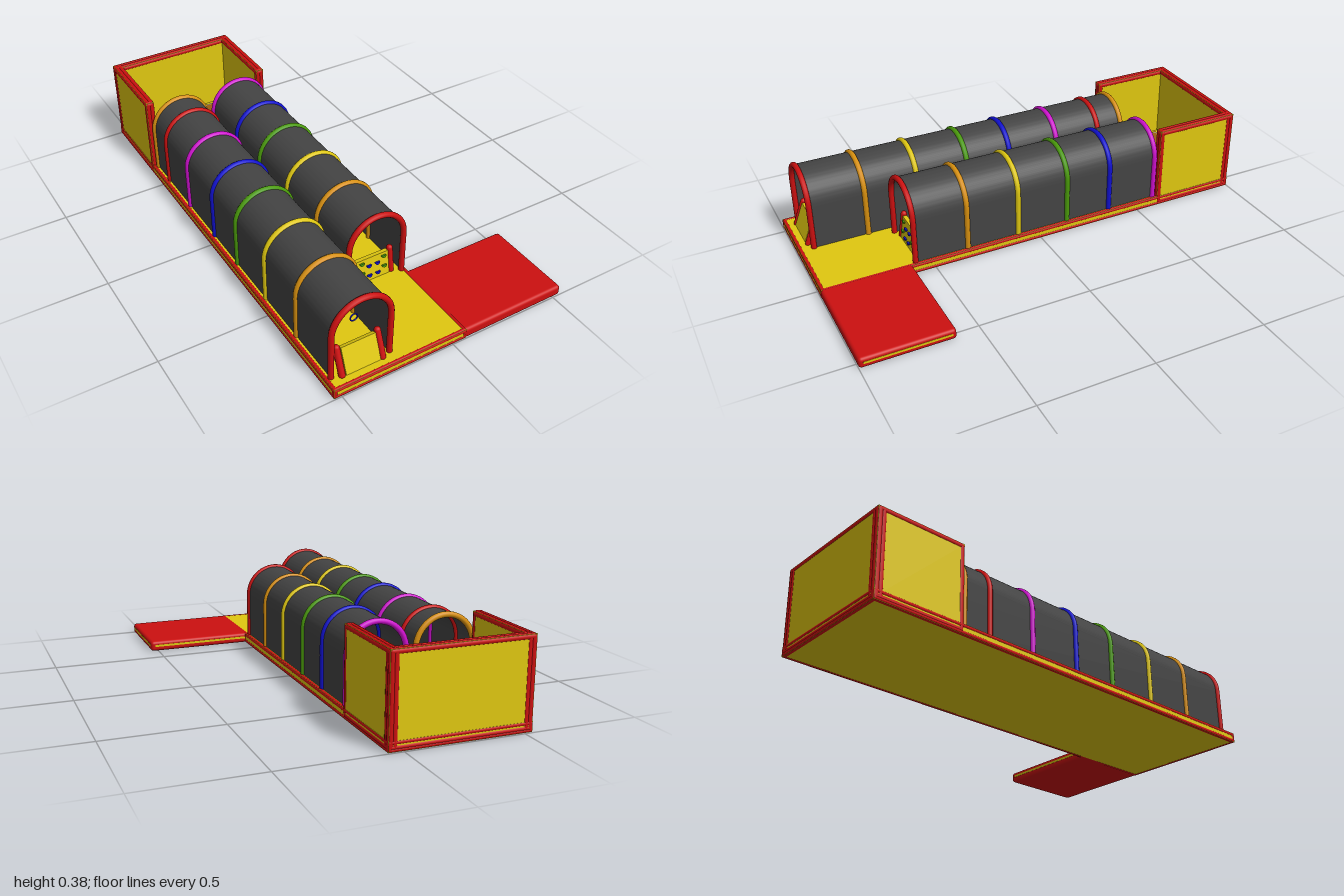
import * as THREE from 'three';
import { mergeGeometries, toCreasedNormals } from 'three/addons/utils/BufferGeometryUtils.js';
import { RoundedBoxGeometry } from 'three/addons/geometries/RoundedBoxGeometry.js';

const paint = (color) => new THREE.MeshStandardMaterial({ color, side: THREE.DoubleSide });
const M = {
  red: paint(0xcc1010), yellow: paint(0xe0c810), orange: paint(0xd8900f), green: paint(0x4a9a0a),
  blue: paint(0x1010d0), magenta: paint(0xd010d0), grey: paint(0x444444), brown: paint(0x9c5f10), line: paint(0xbbbbbb),
};
const V = (x, y, z) => new THREE.Vector3(x, y, z);
const FLOOR = 0.044, SPRING = 0.245, R = 0.128;

function add(parent, name, geo, mat, x = 0, y = 0, z = 0) {
  const m = new THREE.Mesh(geo, mat);
  m.name = name;
  m.position.set(x, y, z);
  parent.add(m);
  return m;
}

// Straight round bar between two points
function bar(a, b, r) {
  return new THREE.TubeGeometry(new THREE.LineCurve3(a, b), 1, r, 12);
}

// Yellow slab with a red round tube along each of its 12 edges
function paddedSlab(parent, name, min, max, r) {
  const g = new THREE.Group();
  g.name = name;
  const c = min.clone().add(max).multiplyScalar(0.5);
  const size = max.clone().sub(min);
  const h = size.clone().multiplyScalar(0.5).subScalar(r);
  const inset = r * 0.5;
  add(g, name + 'Panel', new THREE.BoxGeometry(size.x - inset, size.y - inset, size.z - inset), M.yellow);
  const parts = [];
  for (const s of [-1, 1]) for (const t of [-1, 1]) {
    parts.push(bar(V(-h.x, s * h.y, t * h.z), V(h.x, s * h.y, t * h.z), r));
    parts.push(bar(V(s * h.x, -h.y, t * h.z), V(s * h.x, h.y, t * h.z), r));
    parts.push(bar(V(s * h.x, t * h.y, -h.z), V(s * h.x, t * h.y, h.z), r));
    for (const u of [-1, 1]) {
      parts.push(new THREE.SphereGeometry(r, 12, 8).translate(s * h.x, t * h.y, u * h.z));
    }
  }
  add(g, name + 'Edging', mergeGeometries(parts), M.red);
  g.position.copy(c);
  parent.add(g);
}

// Arched ring: straight legs and a half-circle top
function ringGeometry() {
  const pts = [V(-R, 0.03, 0), V(-R, 0.1, 0), V(-R, 0.18, 0)];
  for (let i = 0; i <= 20; i++) {
    const a = Math.PI * (1 - i / 20);
    pts.push(V(R * Math.cos(a), SPRING + R * Math.sin(a), 0));
  }
  pts.push(V(R, 0.18, 0), V(R, 0.1, 0), V(R, 0.03, 0));
  return new THREE.TubeGeometry(new THREE.CatmullRomCurve3(pts), 64, 0.0125, 10);
}

// Thin arched tunnel skin running along z
function skinGeometry(length) {
  const ro = R + 0.002, ri = R - 0.003;
  const s = new THREE.Shape();
  s.moveTo(ro, 0.035);
  s.lineTo(ro, SPRING);
  s.absarc(0, SPRING, ro, 0, Math.PI, false);
  s.lineTo(-ro, 0.035);
  s.lineTo(-ri, 0.035);
  s.lineTo(-ri, SPRING);
  s.absarc(0, SPRING, ri, Math.PI, 0, true);
  s.lineTo(ri, 0.035);
  return toCreasedNormals(new THREE.ExtrudeGeometry(s, { depth: length, bevelEnabled: false, curveSegments: 28 }), 0.6);
}

function tunnel(parent, name, x, rings) {
  const g = new THREE.Group();
  g.name = name;
  g.position.x = x;
  const front = rings[0][0], back = rings[rings.length - 1][0];
  add(g, 'tunnelSkin', skinGeometry(front - back), M.grey, 0, 0, back);
  const geo = ringGeometry();
  for (const [z, color] of rings) add(g, 'archRing', geo, M[color], 0, 0, z);
  parent.add(g);
  return g;
}

// Leaning panel between two round posts; lean is how far the foot stands forward
function entryPanel(parent, name, z, lean) {
  const g = new THREE.Group();
  g.name = name;
  g.position.set(0, FLOOR, z);
  g.rotation.x = -Math.atan2(lean, 0.1);
  const len = Math.hypot(0.105, lean);
  add(g, 'panel', new THREE.BoxGeometry(0.15, len, 0.02), M.yellow, 0, len / 2, 0);
  for (const s of [-1, 1]) {
    add(g, 'post', new THREE.CapsuleGeometry(0.0135, len, 6, 12), M.red, s * 0.089, len / 2 + 0.003, 0);
  }
  parent.add(g);
  return g;
}

// Flat court line through a list of [x, z] points
function courtLine(parent, pts) {
  const w = 0.0025, pos = [], idx = [];
  pts.forEach(([x, z], i) => {
    const a = pts[Math.max(i - 1, 0)], b = pts[Math.min(i + 1, pts.length - 1)];
    const d = new THREE.Vector2(b[0] - a[0], b[1] - a[1]).normalize().multiplyScalar(w);
    pos.push(x - d.y, 0, z + d.x, x + d.y, 0, z - d.x);
    if (i) idx.push(2 * i - 2, 2 * i, 2 * i - 1, 2 * i - 1, 2 * i, 2 * i + 1);
  });
  const geo = new THREE.BufferGeometry();
  geo.setAttribute('position', new THREE.Float32BufferAttribute(pos, 3));
  geo.setIndex(idx);
  geo.computeVertexNormals();
  add(parent, 'courtLine', geo, M.line, 0, 0.0515, 0);
}
const arc = (cx, cz, rx, rz, a0, a1) => Array.from({ length: 33 }, (_, i) => {
  const a = a0 + (a1 - a0) * i / 32;
  return [cx + rx * Math.cos(a), cz + rz * Math.sin(a)];
});

export function createModel() {
  const root = new THREE.Group();
  root.name = 'inflatablePlayCourse';

  // Base and side mat
  paddedSlab(root, 'base', V(-0.535, 0, -1), V(0.065, 0.047, 1), 0.0095);
  add(root, 'sideMat', new RoundedBoxGeometry(0.485, 0.047, 0.395, 4, 0.014), M.red, 0.2925, 0.0235, 0.8025);
  add(root, 'matStripe', new THREE.BoxGeometry(0.004, 0.01, 0.36), M.yellow, 0.534, 0.026, 0.8025);
  add(root, 'matStripe', new THREE.BoxGeometry(0.45, 0.01, 0.004), M.yellow, 0.29, 0.026, 0.606);

  // Court walls
  paddedSlab(root, 'leftCourtWall', V(0.022, 0.005, -1), V(0.065, 0.385, -0.6), 0.0135);
  paddedSlab(root, 'rightCourtWall', V(-0.535, 0.005, -1), V(-0.492, 0.385, -0.6), 0.0135);
  paddedSlab(root, 'backCourtWall', V(-0.535, 0.005, -1), V(0.065, 0.385, -0.957), 0.0135);

  // Court floor and markings
  const court = new THREE.Group();
  court.name = 'court';
  root.add(court);
  add(court, 'courtFloor', new THREE.BoxGeometry(0.475, 0.012, 0.325), M.brown, -0.24, 0.0445, -0.7785);
  const P = Math.PI, cz = -0.777;
  courtLine(court, [[-0.465, -0.935], [-0.007, -0.935]]);
  courtLine(court, [[-0.465, -0.62], [-0.007, -0.62]]);
  courtLine(court, [[-0.007, -0.935], [-0.007, -0.62]]);
  courtLine(court, [[-0.465, -0.935], [-0.465, -0.62]]);
  courtLine(court, [[-0.465, cz - 0.07], [-0.282, cz - 0.07]]);
  courtLine(court, [[-0.465, cz + 0.07], [-0.282, cz + 0.07]]);
  courtLine(court, [[-0.282, cz - 0.07], [-0.282, cz + 0.07]]);
  courtLine(court, arc(-0.282, cz, 0.07, 0.07, 0, 2 * P));
  courtLine(court, arc(-0.007, cz, 0.072, 0.072, P / 2, 1.5 * P));
  courtLine(court, arc(-0.42, cz, 0.217, 0.152, -P / 2, P / 2));

  // Tunnels
  const long = tunnel(root, 'longTunnel', -0.381, [[0.935, 'red'], [0.69, 'orange'], [0.45, 'yellow'],
    [0.21, 'green'], [0.0, 'blue'], [-0.24, 'magenta'], [-0.46, 'red'], [-0.585, 'orange']]);
  const short = tunnel(root, 'shortTunnel', -0.083, [[0.585, 'red'], [0.345, 'orange'], [0.105, 'yellow'],
    [-0.135, 'green'], [-0.35, 'blue'], [-0.585, 'magenta']]);

  // Entry ramp with a small hoop behind it
  entryPanel(long, 'entryRamp', 0.95, 0.04);
  add(long, 'hoop', new THREE.TorusGeometry(0.016, 0.003, 8, 20), M.blue, 0.056, 0.14, 0.8);

  // Climbing wall with half-round holds, flat side up
  const wall = entryPanel(short, 'climbingWall', 0.565, 0.015);
  const half = new THREE.Shape();
  half.absarc(0, 0, 0.011, P, 2 * P, false);
  const hold = new THREE.ExtrudeGeometry(half, { depth: 0.01, bevelEnabled: false, curveSegments: 10 });
  for (const s of [-1, 1]) for (const y of [0, -0.046]) {
    add(wall, 'hold', hold, M.green, s * 0.052, y + 0.094, 0.008);
    add(wall, 'hold', hold, M.blue, s * 0.02, y + 0.074, 0.008);
  }

  // Obstacles inside the short tunnel and at its exit
  add(short, 'tunnelBlock', new RoundedBoxGeometry(0.24, 0.15, 0.06, 3, 0.01), M.grey, 0, 0.119, 0.1);
  add(short, 'exitStep', new THREE.BoxGeometry(0.21, 0.05, 0.04), M.green, 0, 0.068, -0.595);
  add(short, 'exitPost', new THREE.CylinderGeometry(0.018, 0.018, 0.14, 16), M.blue, 0, 0.114, -0.6);

  return root;
}
